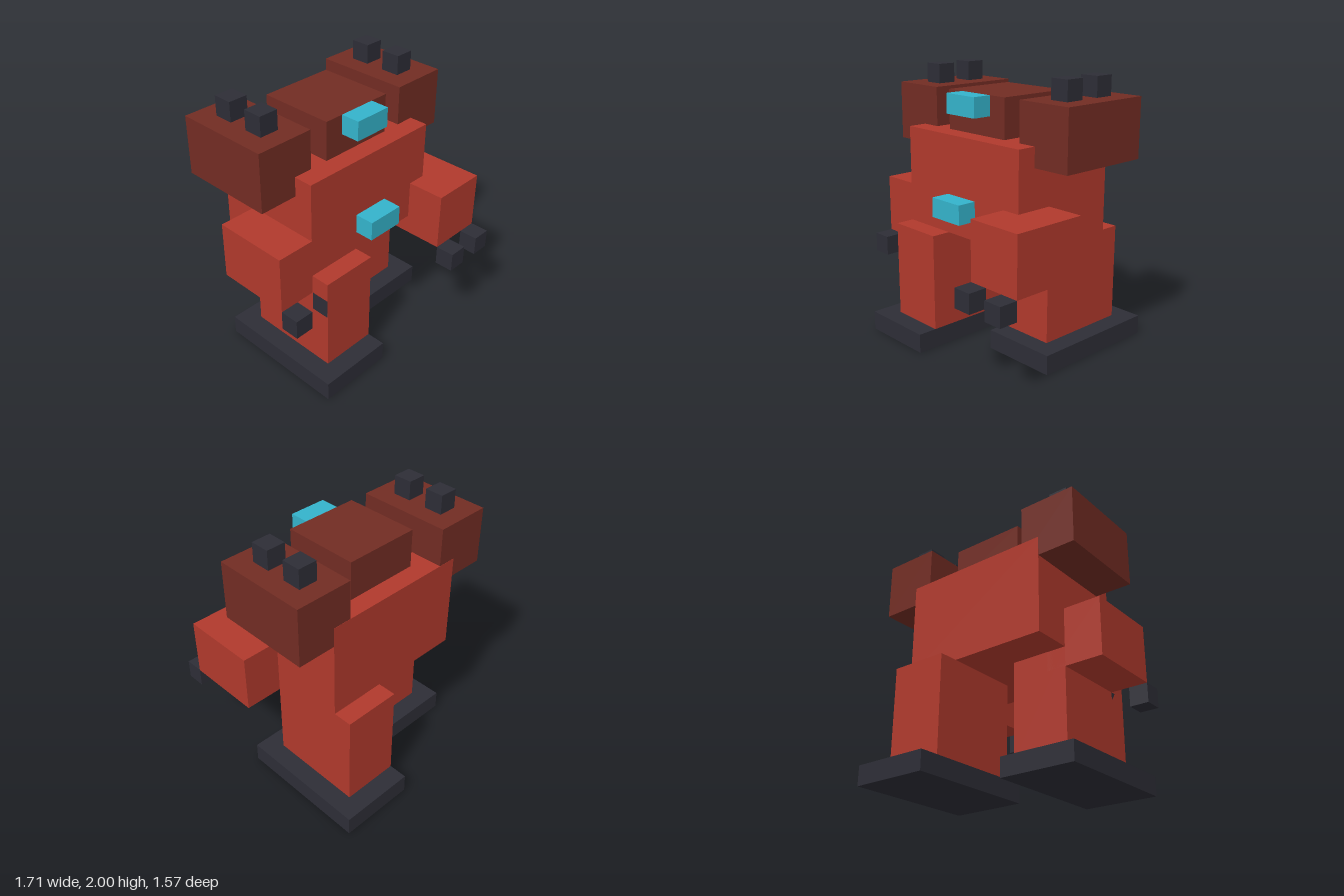
import * as THREE from 'three';

const U = 1 / 7; // one block

const mat = (name, color) => {
  const m = new THREE.MeshStandardMaterial({ color });
  m.name = name;
  return m;
};

export function createModel() {
  const red = mat('red armour', 0xb0392c);
  const maroon = mat('maroon armour', 0x722c23);
  const dark = mat('dark metal', 0x2d2d36);
  const cyan = mat('cyan light', 0x34b3cb);

  const model = new THREE.Group();
  model.name = 'blockRobot';

  // Box from its extents in blocks: [min, max] for each axis
  const box = (parent, name, material, [x0, x1], [y0, y1], [z0, z1]) => {
    const geometry = new THREE.BoxGeometry((x1 - x0) * U, (y1 - y0) * U, (z1 - z0) * U);
    const mesh = new THREE.Mesh(geometry, material);
    mesh.position.set((x0 + x1) / 2 * U, (y0 + y1) / 2 * U, (z0 + z1) / 2 * U);
    mesh.name = name;
    parent.add(mesh);
  };

  // Body and head
  box(model, 'torso', red, [-4, 4], [6, 11], [-3.5, 2.5]);
  box(model, 'chestLight', cyan, [-1, 1], [7, 8], [2.5, 3.5]);
  box(model, 'head', maroon, [-2, 2], [11, 13], [-2.5, 1.5]);
  box(model, 'visor', cyan, [-1, 1], [12, 13], [1.5, 2.5]);

  // Limbs in mid-stride: left arm forward, left leg back
  for (const [side, s, armZ, legZ] of [['left', 1, 0.5, -4.5], ['right', -1, -1.5, -1.5]]) {
    const span = (a, b) => (s > 0 ? [a, b] : [-b, -a]);

    const shoulder = new THREE.Group();
    shoulder.name = side + 'Shoulder';
    box(shoulder, 'shoulderPad', maroon, span(3, 6), [10, 13], [-3.49, 1.5]);
    for (const z of [-2.5, -0.5]) box(shoulder, 'spike', dark, span(4, 5), [13, 14], [z, z + 1]);

    const arm = new THREE.Group();
    arm.name = side + 'Arm';
    box(arm, 'forearm', red, span(3, 6), [5, 8], [armZ, armZ + 4]);
    for (const x of [3, 5]) box(arm, 'finger', dark, span(x, x + 1), [4, 5], [armZ + 4, armZ + 4.99]);

    const leg = new THREE.Group();
    leg.name = side + 'Leg';
    box(leg, 'shin', red, span(1, 4), [1, 6], [legZ, legZ + 5]);
    box(leg, 'foot', dark, span(1, 5), [0, 1], [legZ - 1, legZ + 6]);

    model.add(shoulder, arm, leg);
  }
  return model;
}
